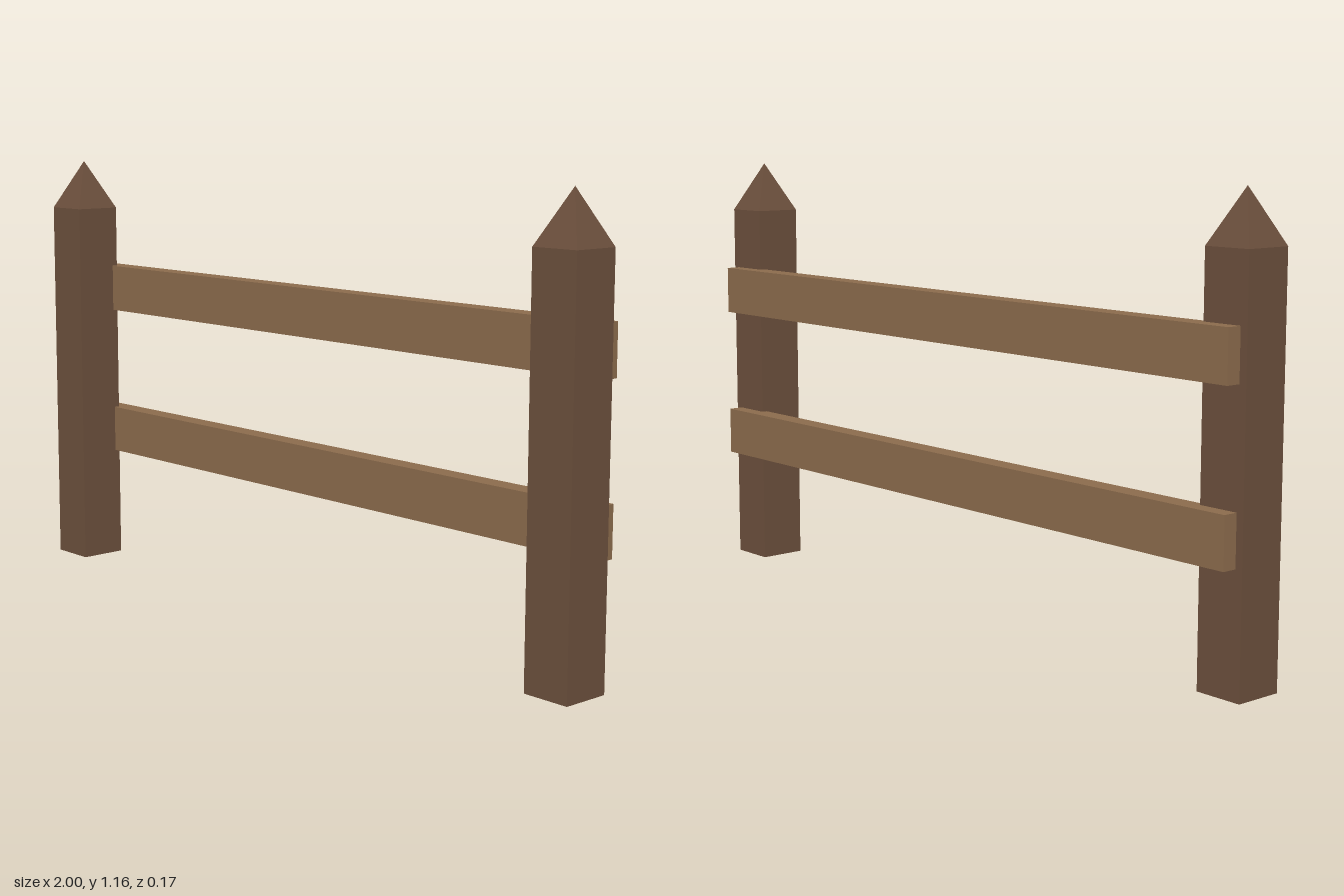
import * as THREE from 'three';

export function createModel() {
  const fence = new THREE.Group();
  fence.name = 'fence';

  const postWood = new THREE.MeshStandardMaterial({ name: 'dark brown wood', color: 0x6b4f3c, flatShading: true });
  const railWood = new THREE.MeshStandardMaterial({ name: 'light brown wood', color: 0x8b6b4c, flatShading: true });

  const add = (parent, name, geometry, material, x, y, z) => {
    const mesh = new THREE.Mesh(geometry, material);
    mesh.name = name;
    mesh.position.set(x, y, z);
    parent.add(mesh);
  };

  // Square posts with pyramid points
  const width = 0.13, height = 1.03, tip = 0.135;
  const shaft = new THREE.BoxGeometry(width, height, width);
  const point = new THREE.ConeGeometry(width / Math.SQRT2, tip, 4, 1, true).rotateY(Math.PI / 4);
  for (const [name, side] of [['leftPost', 1], ['rightPost', -1]]) {
    const post = new THREE.Group();
    post.name = name;
    post.position.set(side * (1 - width / 2), 0, 0.02);
    add(post, 'postShaft', shaft, postWood, 0, height / 2, 0);
    add(post, 'postPoint', point, postWood, 0, height + tip / 2, 0);
    fence.add(post);
  }

  // Rails let into the backs of the posts
  const rail = new THREE.BoxGeometry(1.96, 0.13, 0.055);
  add(fence, 'lowerRail', rail, railWood, 0, 0.375, -0.0575);
  add(fence, 'upperRail', rail, railWood, 0, 0.795, -0.0575);

  return fence;
}
